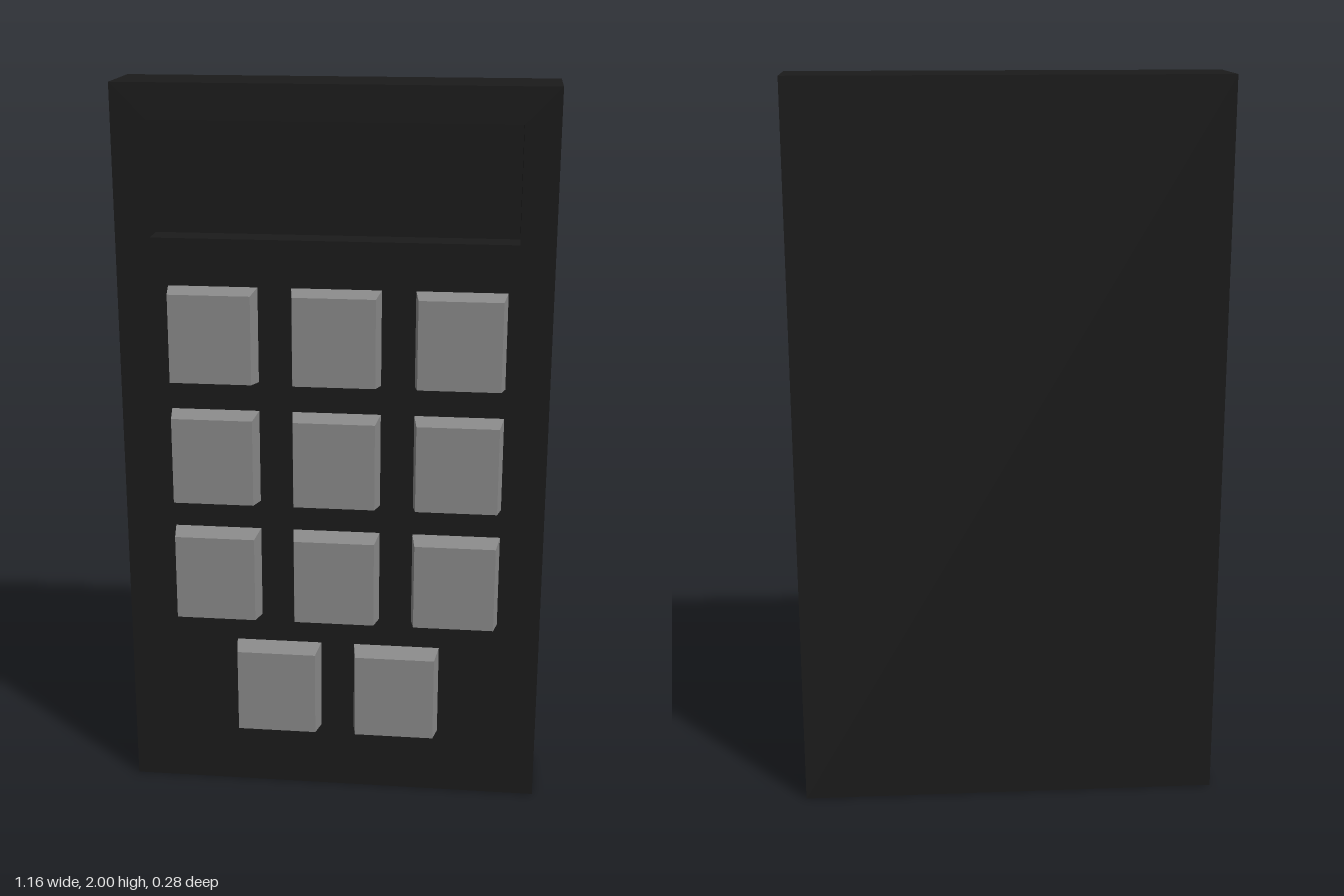
import * as THREE from 'three';

const BACK = -0.14, FRONT = 0.073, RECESS = 0.08, KEY_FRONT = 0.14;
const WIDTH = 1.156, HEIGHT = 2;

// Closed rectangle from its corners
function rect(Type, x0, y0, x1, y1) {
  const path = new Type();
  path.moveTo(x0, y0).lineTo(x1, y0).lineTo(x1, y1).lineTo(x0, y1).closePath();
  return path;
}

// Box whose front face is inset on all four sides
function keyGeometry(w, h, inset) {
  const depth = KEY_FRONT - FRONT;
  const geo = new THREE.BoxGeometry(w, h, depth);
  const p = geo.attributes.position;
  for (let i = 0; i < p.count; i++) {
    if (p.getZ(i) > 0) {
      p.setX(i, p.getX(i) - Math.sign(p.getX(i)) * inset);
      p.setY(i, p.getY(i) - Math.sign(p.getY(i)) * inset);
    }
  }
  geo.translate(0, 0, FRONT + depth / 2);
  geo.computeVertexNormals();
  return geo;
}

export function createModel() {
  const group = new THREE.Group();
  const bodyMat = new THREE.MeshStandardMaterial({ color: 0x1b1b1b });
  const keyMat = new THREE.MeshStandardMaterial({ color: 0x8a8a8a });

  const add = (name, geo, mat, parent = group) => {
    const mesh = new THREE.Mesh(geo, mat);
    mesh.name = name;
    parent.add(mesh);
    return mesh;
  };

  // Rear slab, whose front is the floor of the screen recess
  const slabDepth = FRONT - RECESS - BACK;
  add('rearCase', new THREE.BoxGeometry(WIDTH, HEIGHT, slabDepth), bodyMat)
    .position.set(0, HEIGHT / 2, BACK + slabDepth / 2);

  // Face plate with the screen window cut through
  const face = rect(THREE.Shape, -WIDTH / 2, 0, WIDTH / 2, HEIGHT);
  face.holes.push(rect(THREE.Path, -0.485, 1.6, 0.485, 1.905));
  add('facePlate', new THREE.ExtrudeGeometry(face, { depth: RECESS, bevelEnabled: false }), bodyMat)
    .position.z = FRONT - RECESS;

  // Keys: three rows of three, then a row of two
  const keys = new THREE.Group();
  keys.name = 'keypad';
  group.add(keys);
  const geo = keyGeometry(0.24, 0.26, 0.01);
  for (let row = 0; row < 4; row++) {
    const columns = row < 3 ? [-0.32, 0.01, 0.34] : [-0.153, 0.18];
    columns.forEach((x, col) => {
      add(`key_${row + 1}_${col + 1}`, geo, keyMat, keys).position.set(x, 1.343 - row * 0.341, 0);
    });
  }
  return group;
}
